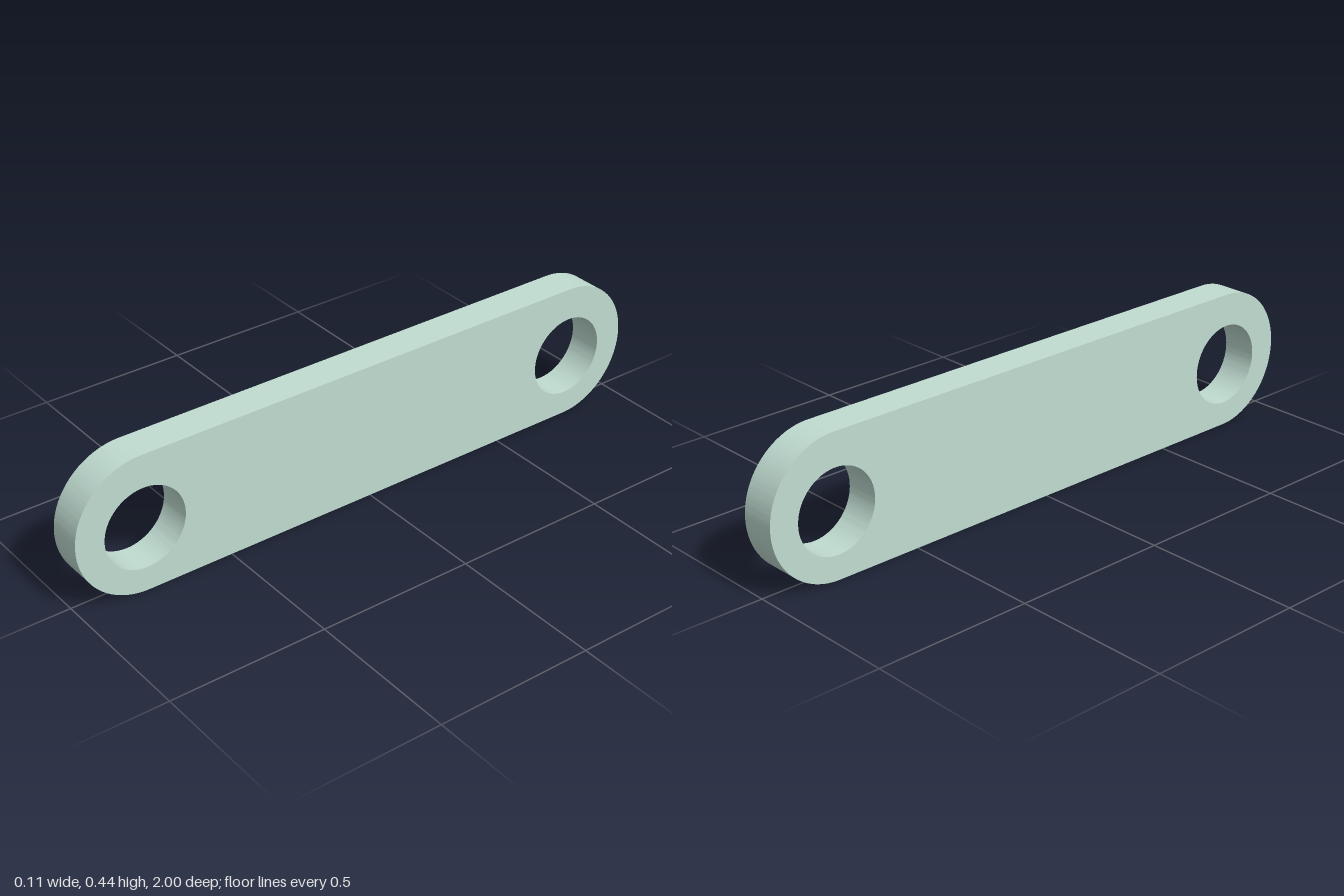
import * as THREE from 'three';
import { toCreasedNormals } from 'three/addons/utils/BufferGeometryUtils.js';

const RADIUS = 0.222;       // rounded end radius, half the height
const REACH = 1 - RADIUS;   // distance of the end centres from the middle
const THICKNESS = 0.112;
const HOLE_RADIUS = 0.131;
const HOLE_Y = 0.208;       // holes sit slightly below the centre line

export function createModel() {
  const group = new THREE.Group();
  group.name = 'linkPlate';

  // Stadium outline: two half circles joined by straight edges
  const outline = new THREE.Shape();
  outline.absarc(REACH, RADIUS, RADIUS, -Math.PI / 2, Math.PI / 2, false);
  outline.absarc(-REACH, RADIUS, RADIUS, Math.PI / 2, Math.PI * 1.5, false);
  outline.closePath();

  // A round pin hole at each end
  for (const side of [-1, 1]) {
    const hole = new THREE.Path();
    hole.absarc(side * REACH, HOLE_Y, HOLE_RADIUS, 0, Math.PI * 2, true);
    outline.holes.push(hole);
  }

  // Extrude the thickness, then turn the length along z
  const extruded = new THREE.ExtrudeGeometry(outline, {
    depth: THICKNESS, bevelEnabled: false, curveSegments: 48,
  });
  extruded.translate(0, 0, -THICKNESS / 2);
  extruded.rotateY(-Math.PI / 2);

  const plate = new THREE.Mesh(
    toCreasedNormals(extruded, Math.PI / 6),
    new THREE.MeshStandardMaterial({ color: 0xc0dcd1 }),
  );
  plate.name = 'plate';
  group.add(plate);
  return group;
}
